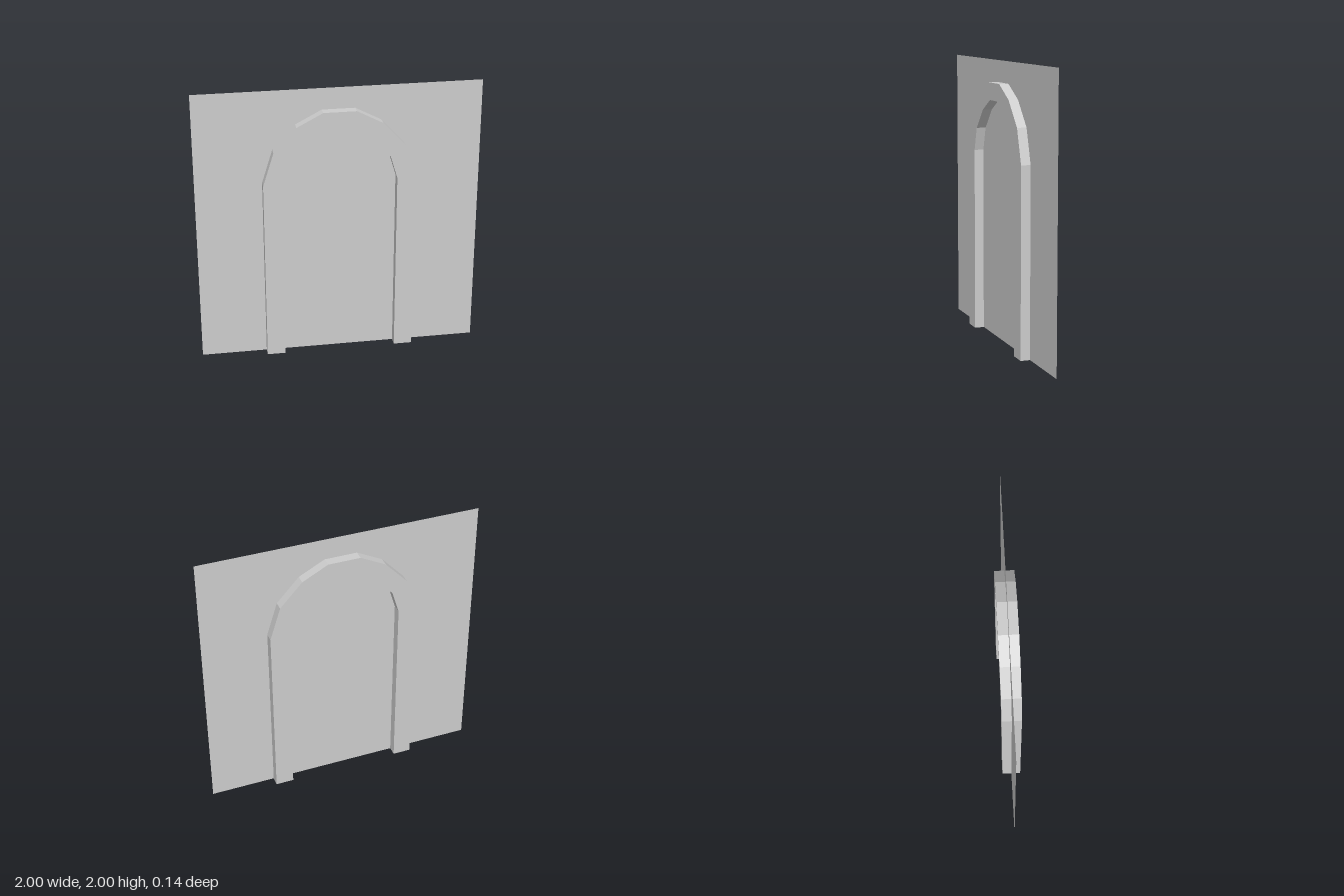
import * as THREE from 'three';

const DEPTH = 0.136;

// Right half of each arch outline, from the floor up to the crown
const OUTER = [[0.533, 0], [0.533, 1.335], [0.457, 1.577], [0.298, 1.75], [0.115, 1.846]];
const INNER = [[0.403, 0], [0.403, 1.335], [0.353, 1.501], [0.219, 1.644], [0.071, 1.723]];

// Full outline from right foot over the crown to left foot
function mirrored(half) {
  const left = half.map(([x, y]) => [-x, y]).reverse();
  return [...half, ...left].map(([x, y]) => new THREE.Vector2(x, y));
}

export function createModel() {
  const group = new THREE.Group();
  group.name = 'archwayWall';

  // Thin wall panel, visible from both sides
  const wall = new THREE.Mesh(
    new THREE.PlaneGeometry(2, 2),
    new THREE.MeshStandardMaterial({ color: 0xcccccc, side: THREE.DoubleSide })
  );
  wall.name = 'wallPanel';
  wall.position.y = 1;
  group.add(wall);

  // Faceted arch frame standing out on both sides of the wall
  const shape = new THREE.Shape([...mirrored(OUTER), ...mirrored(INNER).reverse()]);
  const geometry = new THREE.ExtrudeGeometry(shape, { depth: DEPTH, bevelEnabled: false });
  geometry.translate(0, 0, -DEPTH / 2);
  const arch = new THREE.Mesh(
    geometry,
    new THREE.MeshStandardMaterial({ color: 0xcccccc, flatShading: true })
  );
  arch.name = 'archFrame';
  group.add(arch);

  return group;
}
